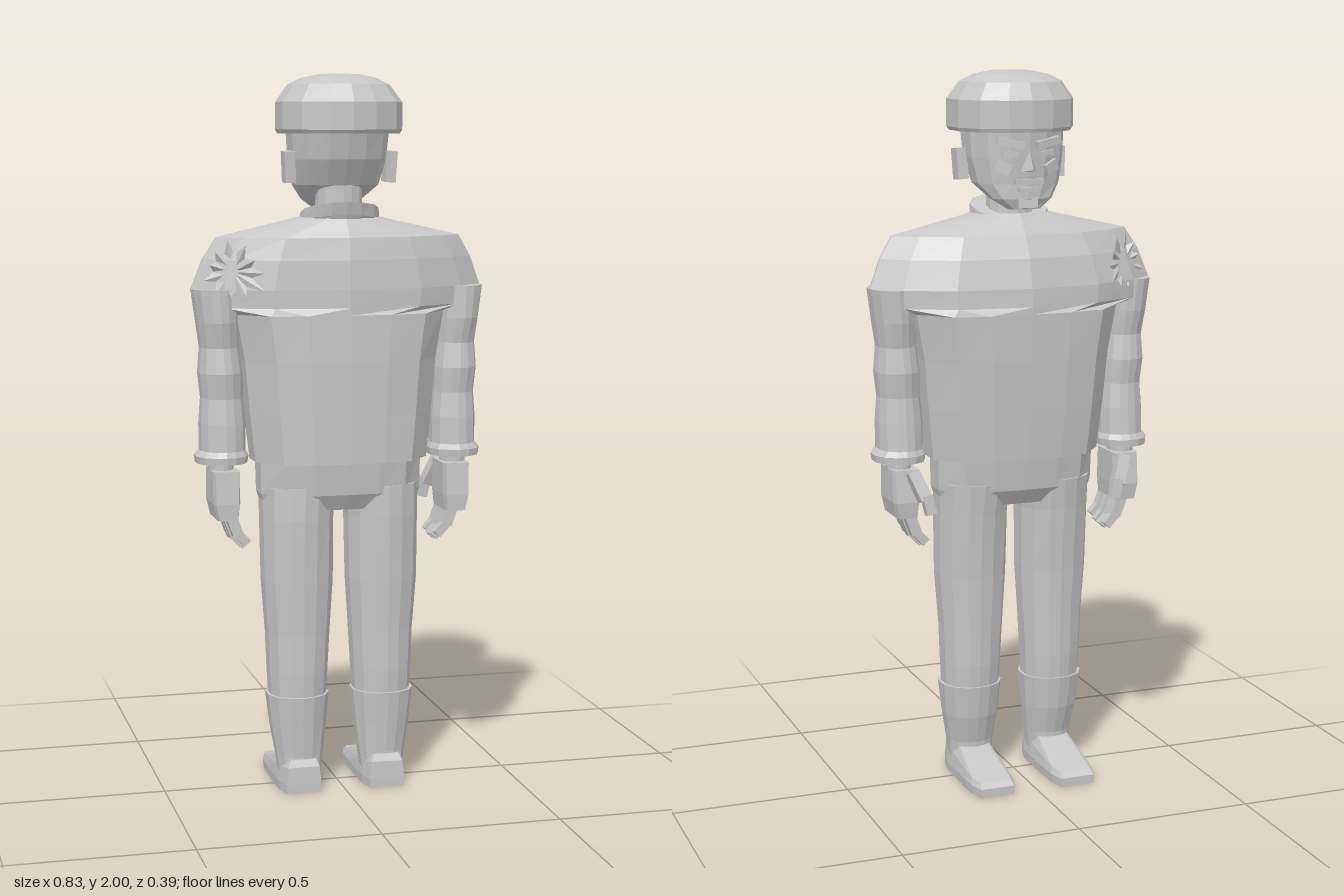
import * as THREE from 'three';

const grey = new THREE.MeshStandardMaterial({ color: 0xc6c6c6 });
grey.name = 'light grey';
const greyThin = grey; // torn cloth is built with both faces

// Quarter outlines [u, v], mirrored into full 14-sided cross-sections
const ROUND = [[1, 0.28], [0.78, 0.7], [0.38, 0.94], [0, 1]];
const BODY = [[1, 0.3], [0.74, 0.85], [0.4, 0.97], [0, 1]];
const WIDE = [[1, 0.03], [0.82, 0.45], [0.5, 0.84], [0, 1]];
const BLOCK = [[1, 0.75], [0.85, 1], [0.4, 1], [0, 1]];

function ring({ y, cx = 0, rx, front, back, shape = ROUND, tilt = 0 }) {
  const flip = (su, sv) => shape.map(([u, v]) => [u * su, v * sv]);
  const outline = [
    ...flip(1, 1), ...flip(-1, 1).slice(0, 3).reverse(),
    ...flip(-1, -1), ...flip(1, -1).slice(0, 3).reverse(),
  ];
  const cz = (front + back) / 2, rz = (back - front) / 2;
  return outline.map(([u, v]) => new THREE.Vector3(cx + u * rx, y + v * tilt, cz + v * rz));
}

function facets(points) {
  const g = new THREE.BufferGeometry().setFromPoints(points);
  g.computeVertexNormals();
  return g;
}

// Faceted solid through sections listed from the bottom up, closed at both ends
function loft(sections) {
  const rings = sections.map(ring), n = rings[0].length, tri = [];
  const mid = (r) => r.reduce((s, p) => s.add(p), new THREE.Vector3()).divideScalar(n);
  const low = rings[0], high = rings[rings.length - 1], lowMid = mid(low), highMid = mid(high);
  for (let j = 0; j < n; j++) {
    const k = (j + 1) % n;
    for (let i = 0; i < rings.length - 1; i++) {
      const a = rings[i][j], b = rings[i][k], c = rings[i + 1][j], d = rings[i + 1][k];
      tri.push(a, c, b, b, c, d);
    }
    tri.push(lowMid, low[j], low[k], highMid, high[k], high[j]);
  }
  return facets(tri);
}

// Section rows: [y, centre x, half width, front z, back z]
const rows = (list, shape, side = 1) =>
  list.map(([y, cx, rx, front, back]) => ({ y, cx: cx * side, rx, front, back, shape }));

export function createModel() {
  const model = new THREE.Group();
  model.name = 'standing man';
  const add = (name, geometry, parent = model) => {
    const mesh = new THREE.Mesh(geometry, grey);
    mesh.name = name;
    parent.add(mesh);
    return mesh;
  };
  const box = (name, size, pos, rot = [0, 0, 0], parent = model) => {
    const mesh = add(name, new THREE.BoxGeometry(...size), parent);
    mesh.position.set(...pos);
    mesh.rotation.set(...rot);
    return mesh;
  };

  // Jumper with broad shoulders
  add('jumper', loft([
    ...rows([
      [0.94, 0, 0.245, -0.125, 0.16], [1.08, 0, 0.26, -0.137, 0.162],
      [1.22, 0, 0.272, -0.147, 0.165], [1.35, 0, 0.295, -0.153, 0.165],
    ], BODY),
    ...rows([
      [1.37, 0, 0.405, -0.153, 0.165], [1.42, 0, 0.413, -0.15, 0.165],
      [1.5, 0, 0.382, -0.13, 0.16], [1.56, 0, 0.345, -0.1, 0.148],
    ], WIDE),
    ...rows([[1.615, 0, 0.1, -0.055, 0.11]], ROUND),
  ]));

  // Collar, higher at the back, and neck
  add('collar', loft([
    { y: 1.585, rx: 0.09, front: -0.05, back: 0.11, tilt: 0.015 },
    { y: 1.6, rx: 0.108, front: -0.06, back: 0.118, tilt: 0.02 },
    { y: 1.63, rx: 0.105, front: -0.062, back: 0.128, tilt: 0.026 },
  ]));
  add('neck', loft(rows([[1.58, 0, 0.065, -0.035, 0.085], [1.74, 0, 0.06, -0.03, 0.085]], ROUND)));

  // Head and face, looking along -z
  add('head', loft(rows([
    [1.632, 0, 0.045, -0.108, -0.06], [1.66, 0, 0.085, -0.118, 0],
    [1.7, 0, 0.117, -0.118, 0.085], [1.77, 0, 0.132, -0.125, 0.128],
    [1.85, 0, 0.137, -0.132, 0.15],
  ], ROUND)));
  const nose = add('nose', facets([
    [-0.022, 1.735, -0.118], [0, 1.74, -0.155], [0, 1.8, -0.124],
    [0, 1.74, -0.155], [0.022, 1.735, -0.118], [0, 1.8, -0.124],
    [-0.022, 1.735, -0.118], [0.022, 1.735, -0.118], [0, 1.74, -0.155],
  ].map((p) => new THREE.Vector3(...p))));
  nose.material = new THREE.MeshStandardMaterial({ color: 0xc6c6c6, side: THREE.DoubleSide });
  nose.material.name = 'light grey thin';
  box('upperLip', [0.08, 0.013, 0.02], [0, 1.708, -0.119]);
  box('lowerLip', [0.06, 0.012, 0.02], [0, 1.687, -0.117]);
  box('chin', [0.055, 0.03, 0.02], [0, 1.65, -0.108], [0.15, 0, 0]);
  for (const s of [1, -1]) {
    box('brow', [0.075, 0.02, 0.025], [s * 0.053, 1.812, -0.122], [0, s * -0.25, s * 0.18]);
    box('eye', [0.042, 0.014, 0.012], [s * 0.052, 1.783, -0.119], [0, s * -0.25, s * 0.1]);
    box('cheek', [0.045, 0.03, 0.015], [s * 0.068, 1.745, -0.108], [0, s * -0.45, s * 0.4]);
    box('ear', [0.03, 0.085, 0.045], [s * 0.143, 1.75, 0.032], [0.06, 0, s * -0.05]);
  }

  // Cap: upright band and a domed crown
  add('cap', loft(rows([
    [1.84, 0, 0.162, -0.142, 0.188], [1.85, 0, 0.168, -0.146, 0.195],
    [1.925, 0, 0.168, -0.148, 0.195], [1.972, 0, 0.135, -0.125, 0.165],
    [1.99, 0, 0.1, -0.08, 0.125], [2.0, 0, 0.055, -0.025, 0.08],
  ], ROUND)));

  // Trouser seat
  add('trouserSeat', loft(rows([
    [0.805, 0, 0.215, -0.07, 0.105], [0.85, 0, 0.228, -0.1, 0.132],
    [0.955, 0, 0.23, -0.115, 0.145],
  ], BODY)));

  for (const s of [1, -1]) {
    const side = s > 0 ? 'left' : 'right';

    // Trouser leg, boot shaft and shoe
    add(side + 'Leg', loft(rows([
      [0.25, 0.122, 0.078, -0.052, 0.108], [0.34, 0.122, 0.083, -0.06, 0.113],
      [0.45, 0.121, 0.088, -0.064, 0.115], [0.6, 0.122, 0.098, -0.07, 0.122],
      [0.78, 0.122, 0.1, -0.088, 0.13], [0.87, 0.118, 0.105, -0.1, 0.13],
    ], ROUND, s)));
    add(side + 'Boot', loft(rows([
      [0.04, 0.12, 0.058, -0.02, 0.1], [0.1, 0.12, 0.066, -0.022, 0.1],
      [0.18, 0.122, 0.077, -0.045, 0.108], [0.275, 0.123, 0.087, -0.06, 0.118],
    ], ROUND, s)));
    const shoe = { cx: s * 0.121, shape: [[1, 0.4], [0.97, 0.7], [0.78, 1], [0, 1]] };
    add(side + 'Shoe', loft([
      { ...shoe, y: 0, rx: 0.063, front: -0.2, back: 0.112 },
      { ...shoe, y: 0.025, rx: 0.064, front: -0.2, back: 0.112 },
      { ...shoe, y: 0.056, rx: 0.058, front: -0.185, back: 0.11, tilt: 0.018 },
      { ...shoe, y: 0.09, rx: 0.046, front: -0.03, back: 0.1, tilt: 0.004 },
    ]));

    // Wrinkled sleeve ending in a flared cuff
    add(side + 'Sleeve', loft(rows([
      [0.94, 0.334, 0.07, -0.065, 0.1], [0.96, 0.334, 0.073, -0.066, 0.102],
      [0.975, 0.331, 0.062, -0.058, 0.095], [1.05, 0.331, 0.063, -0.052, 0.092],
      [1.12, 0.332, 0.057, -0.045, 0.085], [1.19, 0.336, 0.06, -0.055, 0.095],
      [1.26, 0.338, 0.053, -0.046, 0.085], [1.33, 0.344, 0.056, -0.06, 0.1],
      [1.42, 0.35, 0.062, -0.065, 0.1],
    ], ROUND, s)));

    // Hand with fingers curling inwards and a thumb in front
    const hand = new THREE.Group();
    hand.name = side + 'Hand';
    model.add(hand);
    add('wrist', loft(rows([[0.9, 0.335, 0.034, -0.03, 0.06], [0.97, 0.335, 0.034, -0.03, 0.06]], ROUND, s)), hand);
    add('palm', loft(rows([
      [0.785, 0.327, 0.03, -0.05, 0.09], [0.83, 0.33, 0.037, -0.056, 0.092],
      [0.92, 0.33, 0.038, -0.045, 0.085],
    ], BLOCK, s)), hand);
    for (let i = 0; i < 4; i++) {
      const z = 0.072 - i * 0.034, lift = [0.012, 0, -0.004, 0.004][i];
      box('finger', [0.03, 0.07, 0.028], [s * 0.312, 0.765 + lift, z], [0, 0, s * -0.35], hand);
      box('fingertip', [0.025, 0.045, 0.025], [s * 0.288, 0.722 + lift, z], [0, 0, s * -0.75], hand);
    }
    box('thumb', [0.034, 0.085, 0.034], [s * 0.302, 0.878, -0.066], [0.35, 0, s * -0.35], hand);
    box('thumbTip', [0.028, 0.055, 0.028], [s * 0.28, 0.828, -0.084], [0.1, 0, s * -0.2], hand);
  }

  // Torn cloth: jagged shreds fanning out on both faces of the right shoulder
  for (const s of [1, -1]) {
    const count = 22, rim = [], tri = [];
    const surface = (x, y, lift) => new THREE.Vector3(x, y,
      0.015 + s * (Math.max(0, 0.41 + x - Math.max(0, y - 1.42) * 0.35) * 0.72 + lift));
    for (let i = 0; i < count; i++) {
      const a = (i / count) * Math.PI * 2, r = i % 2 ? 0.55 : 0.85 + 0.15 * Math.sin(i * 2.3);
      rim.push(surface(-0.31 + 0.085 * r * Math.cos(a), 1.468 + 0.09 * r * Math.sin(a), i % 2 ? 0.008 : 0.03));
    }
    const centre = surface(-0.31, 1.468, 0.005);
    for (let i = 0; i < count; i++) {
      const a = rim[i], b = rim[(i + 1) % count];
      tri.push(...(s > 0 ? [centre, a, b] : [centre, b, a]));
    }
    add('tornCloth', facets(tri)).material = nose.material;
  }

  return model;
}
